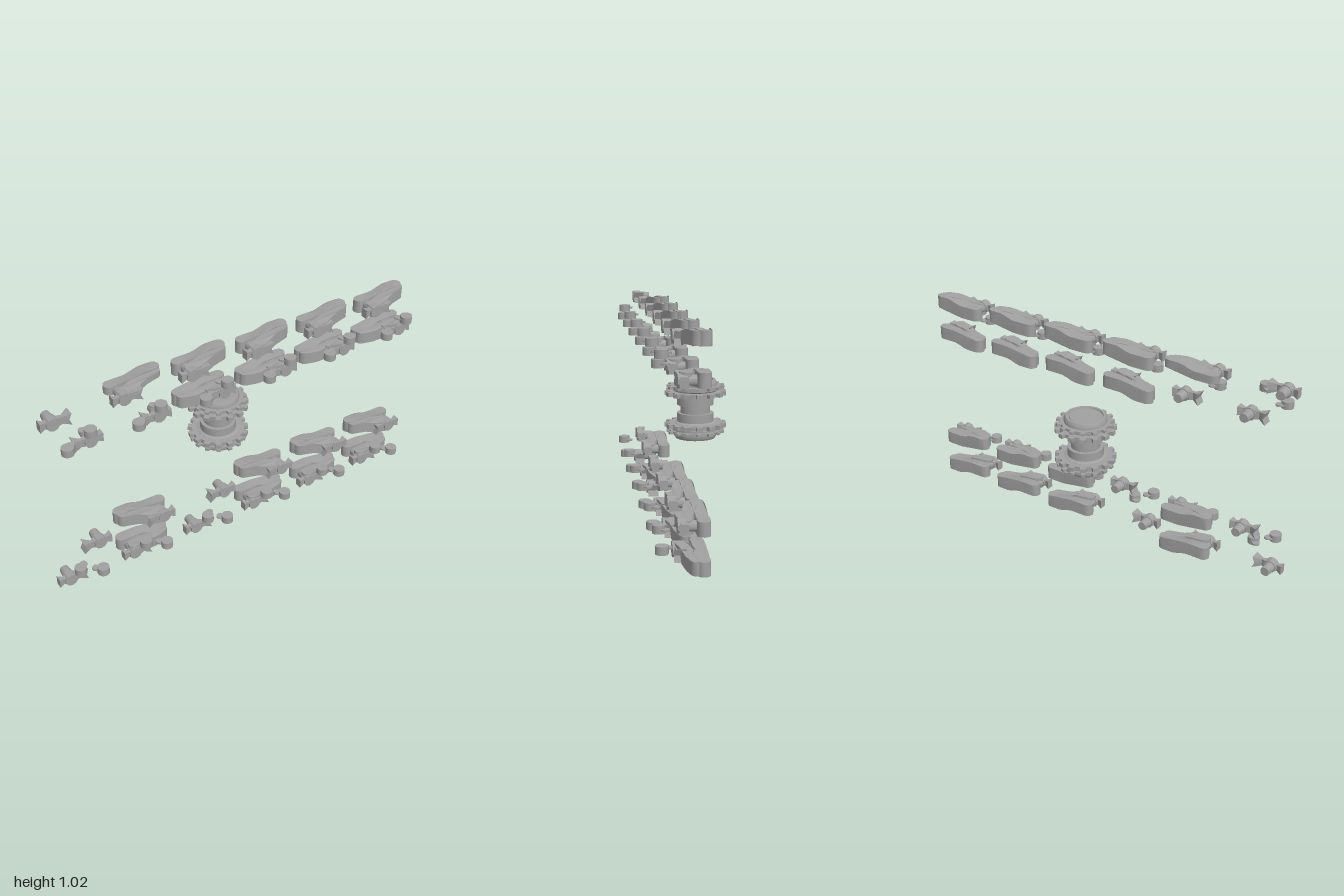
import * as THREE from 'three';
import { toCreasedNormals } from 'three/addons/utils/BufferGeometryUtils.js';

const steel = new THREE.MeshStandardMaterial({ color: 0xa0a0a0 });
steel.name = 'plain grey';

// Extrude an outline drawn in x/z to a height centred on y = 0
function slab(points, height) {
  const g = new THREE.ExtrudeGeometry(new THREE.Shape(points), { depth: height, bevelEnabled: false });
  return g.translate(0, 0, -height / 2).rotateX(Math.PI / 2);
}

// Rounded bar outline between two x/z points, sampled along its sides
function capsule(x0, z0, x1, z1, r) {
  const a = Math.atan2(z1 - z0, x1 - x0), pts = [];
  const arc = (x, z, start) => {
    for (let i = 0; i <= 8; i++) {
      const t = a + start + (Math.PI * i) / 8;
      pts.push(new THREE.Vector2(x + r * Math.cos(t), z + r * Math.sin(t)));
    }
  };
  const side = (sx, sz, ex, ez, s) => {
    for (let i = 1; i < 8; i++) {
      const k = i / 8;
      pts.push(new THREE.Vector2(sx + (ex - sx) * k - s * r * Math.sin(a), sz + (ez - sz) * k + s * r * Math.cos(a)));
    }
  };
  arc(x1, z1, -Math.PI / 2);
  side(x1, z1, x0, z0, 1);
  arc(x0, z0, Math.PI / 2);
  side(x0, z0, x1, z1, -1);
  return pts;
}

// Offset the link downwards towards its outer end
function crank(g) {
  const p = g.attributes.position;
  for (let i = 0; i < p.count; i++) {
    const t = THREE.MathUtils.smoothstep(p.getX(i), -0.03, 0.06);
    p.setY(i, p.getY(i) + 0.005 - 0.022 * t);
  }
  return g;
}

// Plain or upside-down copy with sharp edges kept
function finish(geometry, flip) {
  const g = geometry.index ? geometry.toNonIndexed() : geometry.clone();
  g.clearGroups();
  if (flip) {
    g.scale(1, -1, 1);
    const p = g.attributes.position.array;
    for (let i = 0; i < p.length; i += 9) {
      for (let k = 3; k < 6; k++) [p[i + k], p[i + k + 3]] = [p[i + k + 3], p[i + k]];
    }
  }
  g.deleteAttribute('uv');
  g.computeVertexNormals();
  return toCreasedNormals(g, 0.6);
}

function linkParts(flip) {
  // Connector: waisted bar with flared, notched ends
  const bar = new THREE.BoxGeometry(4, 2, 2, 4, 2, 2);
  const xs = [-0.059, -0.034, 0, 0.046, 0.086];
  const hs = [0.023, 0.016, 0.024, 0.018, 0.029];
  const back = [0.098, 0.11, 0.095, 0.112, 0.088];
  const front = [0.136, 0.128, 0.136, 0.128, 0.14];
  const p = bar.attributes.position;
  for (let i = 0; i < p.count; i++) {
    const k = Math.round(p.getX(i) + 2), y = p.getY(i), z = p.getZ(i);
    const notch = k === 4 && Math.abs(y) < 0.5 ? -0.012 : 0;
    p.setXYZ(i, xs[k] + notch, y * hs[k], THREE.MathUtils.lerp(back[k], front[k], (z + 1) / 2));
  }
  const boss = new THREE.CylinderGeometry(0.032, 0.032, 0.04, 10).rotateX(Math.PI / 2).translate(0, 0, 0.119);
  const stub = new THREE.CylinderGeometry(0.027, 0.022, 0.055, 16).rotateX(Math.PI / 2).translate(0, 0, 0.0775);
  // Link body: long rear slab and a slanting front arm
  const rear = (h, y) => crank(slab(capsule(-0.107, 0.03, 0.11, 0.03, 0.029), h).translate(0, y, 0));
  const arm = (h, y) => crank(slab(capsule(0.1, 0.055, -0.075, 0.1, 0.029), h).translate(0, y, 0));
  // Pin with a thin tongue
  const pin = new THREE.CylinderGeometry(0.029, 0.029, 0.036, 16);
  const tongue = slab(capsule(0, 0, -0.026, -0.028, 0.018), 0.008);
  const make = (list) => list.map(([name, g]) => [name, finish(g, flip)]);
  return {
    connector: make([['connectorBar', bar], ['connectorBoss', boss], ['connectorStub', stub]]),
    body: make([['rearSlab', rear(0.064, 0)], ['frontArm', arm(0.06, 0)]]),
    halfBody: make([['rearSlab', rear(0.04, -0.012)], ['frontArm', arm(0.03, -0.012)]]),
    pin: make([['pinHead', pin], ['pinTongue', tongue]]),
  };
}

function assemble(name, parts, x = 0, y = 0, z = 0) {
  const group = new THREE.Group();
  group.name = name;
  for (const [part, g] of parts) {
    const mesh = new THREE.Mesh(g, steel);
    mesh.name = part;
    group.add(mesh);
  }
  group.position.set(x, y, z);
  return group;
}

// Toothed plate outline
function gear(rRoot, rTip, teeth, width) {
  const pts = [];
  for (let i = 0; i < teeth; i++) {
    const step = (Math.PI * 2) / teeth;
    for (const [f, r] of [[-0.5, rRoot], [-width, rRoot], [-width * 0.8, rTip], [0, rTip], [width * 0.8, rTip], [width, rRoot]]) {
      const a = (i + f) * step;
      pts.push(new THREE.Vector2(Math.cos(a) * r, Math.sin(a) * r));
    }
  }
  return pts;
}

function sprocket() {
  // Half profile of the hub, mirrored top to bottom
  const half = [
    [0, 0.141], [0.078, 0.141], [0.08, 0.137], [0.084, 0.137], [0.086, 0.145], [0.097, 0.145],
    [0.105, 0.132], [0.105, 0.117], [0.112, 0.112], [0.112, 0.095], [0.105, 0.09], [0.105, 0.068],
    [0.089, 0.062], [0.089, 0.02], [0.072, 0.02],
  ];
  const profile = [...half.map(([r, y]) => [r, -y]), ...half.slice().reverse()];
  const hub = new THREE.LatheGeometry(profile.map(([r, y]) => new THREE.Vector2(r, y)), 40);
  const parts = [['hub', finish(hub, false)]];
  for (const s of [-1, 1]) {
    parts.push(['driveTeeth', finish(slab(gear(0.13, 0.151, 15, 0.28), 0.02).translate(0, s * 0.079, 0), false)]);
    parts.push(['outerPlate', finish(slab(gear(0.124, 0.142, 15, 0.22), 0.013).translate(0, s * 0.111, 0), false)]);
  }
  return assemble('sprocketWheel', parts, 0, 0.511, -0.076);
}

export function createModel() {
  const model = new THREE.Group();
  model.name = 'trackKit';
  model.add(sprocket());
  // Body fitted per column: 0 none, 1 full, 2 half; pairs are outer and inner row
  const layout = {
    lower: [[0, 1, 0, 1, 1, 1], [0, 1, 0, 1, 1, 1]],
    upper: [[0, 2, 1, 1, 1, 1], [0, 0, 1, 1, 1, 1]],
  };
  for (const level of ['lower', 'upper']) {
    const flip = level === 'upper';
    const s = flip ? -1 : 1;
    const parts = linkParts(flip);
    layout[level].forEach((row, r) => row.forEach((kind, col) => {
      const unit = new THREE.Group();
      unit.name = `${level}Link`;
      unit.add(assemble('connector', parts.connector, -0.083, -0.079 * s, 0));
      unit.add(assemble('pin', parts.pin, 0.056, -0.028 * s, 0.199));
      if (kind) unit.add(assemble('linkBody', kind === 1 ? parts.body : parts.halfBody, 0, -0.079 * s, 0));
      // The inner row is the outer row turned half round
      unit.rotation.z = r * Math.PI;
      unit.position.set(-0.855 + 0.342 * col, 0.511 - s * 0.382, 0);
      model.add(unit);
    }));
  }
  // Rest on the ground and fill the frame
  model.updateMatrixWorld(true);
  const box = new THREE.Box3().setFromObject(model, true);
  for (const child of model.children) child.position.y -= box.min.y;
  return model;
}
